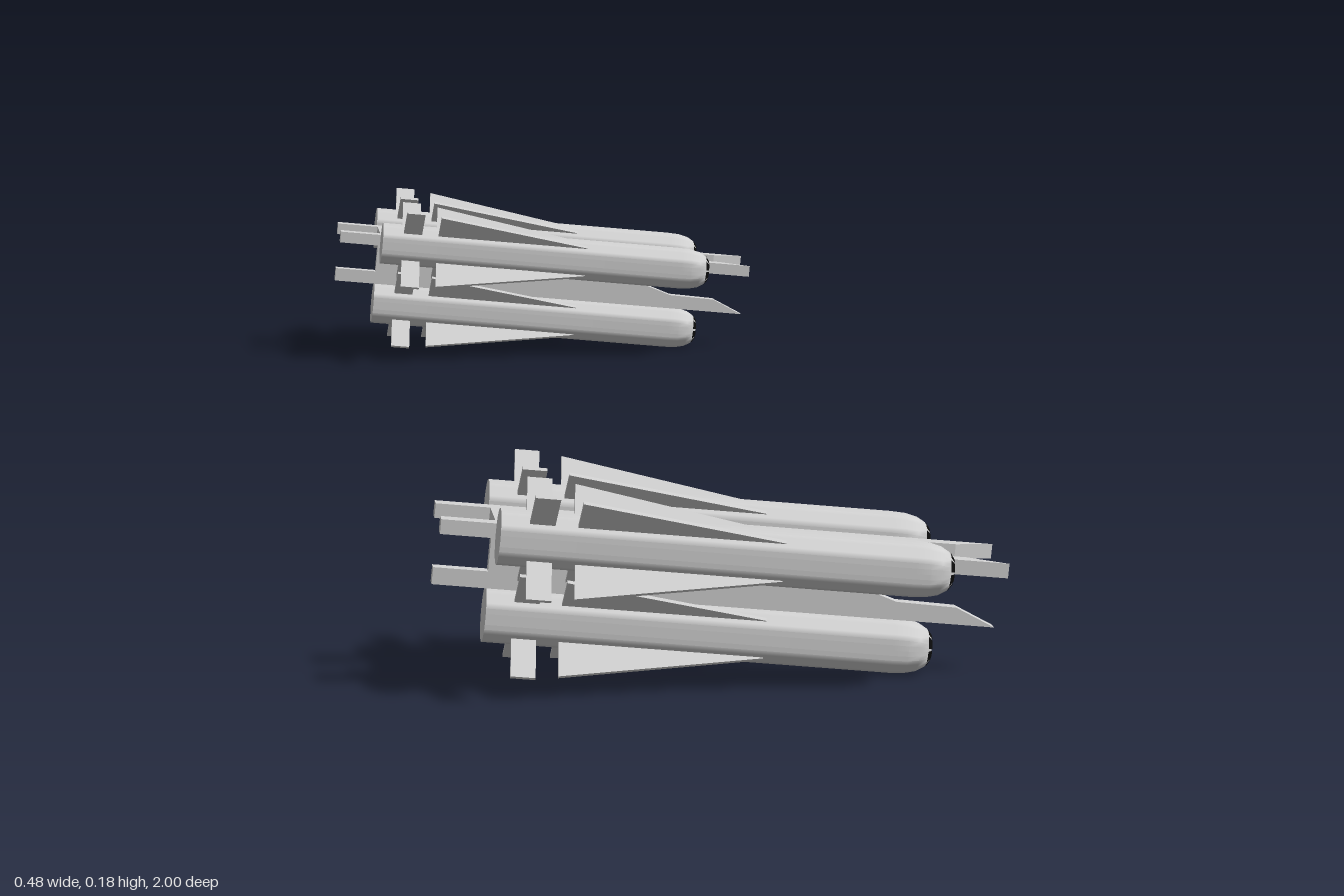
import * as THREE from 'three';
import { toCreasedNormals } from 'three/addons/utils/BufferGeometryUtils.js';

const lightGrey = new THREE.MeshStandardMaterial({ color: 0xd2d2d2 });
lightGrey.name = 'lightGrey';
const black = new THREE.MeshStandardMaterial({ color: 0x0c0c0c });
black.name = 'black';

const TAIL = -0.2;
const RADIUS = 0.0235;
const vectors = (points) => points.map(([x, y]) => new THREE.Vector2(x, y));

function part(name, geometry, material) {
  const mesh = new THREE.Mesh(geometry, material);
  mesh.name = name;
  return mesh;
}

// Flat plate in the x-y plane, centred on z = 0
function plate(points, thickness) {
  return new THREE.ExtrudeGeometry(new THREE.Shape(vectors(points)), {
    depth: thickness, bevelEnabled: false,
  }).translate(0, 0, -thickness / 2);
}

// Turned shape along +x; profile entries are [radius, distance from tail]
function turned(profile, sides, start = 0, sweep = Math.PI * 2) {
  const lathe = new THREE.LatheGeometry(vectors(profile), sides, start, sweep);
  return toCreasedNormals(lathe.rotateZ(-Math.PI / 2).translate(TAIL, 0, 0), 0.6);
}

const bodyGeometry = turned([
  [0, 0], [RADIUS, 0], [RADIUS, 0.345], [0.0228, 0.358], [0.0205, 0.368],
  [0.0165, 0.375], [0.011, 0.379], [0, 0.38],
], 32);

// Dark wedges lying just over the nose
const WEDGES = 8;
const wedgeGeometries = Array.from({ length: WEDGES }, (_, i) => turned([
  [0.0168, 0.3756], [0.0112, 0.3796], [0.002, 0.3806],
], 4, (i / WEDGES) * Math.PI * 2, (Math.PI * 2 / WEDGES) * 0.82));

const wingGeometry = plate([
  [TAIL + 0.0635, 0.02], [TAIL + 0.236, 0.022], [TAIL + 0.236, 0.0242], [TAIL + 0.0635, 0.0575],
], 0.003);
const tailFinGeometry = plate([
  [TAIL + 0.0235, 0.02], [TAIL + 0.0445, 0.02], [TAIL + 0.0445, 0.061], [TAIL + 0.0235, 0.061],
], 0.003);

function createMissile() {
  const missile = new THREE.Group();
  missile.name = 'missile';
  missile.add(part('body', bodyGeometry, lightGrey));
  wedgeGeometries.forEach((g) => missile.add(part('noseWedge', g, black)));
  // Four wings and four tail fins in an X
  for (let i = 0; i < 4; i++) {
    const angle = Math.PI / 4 + i * Math.PI / 2;
    const wing = part('wing', wingGeometry, lightGrey);
    const fin = part('tailFin', tailFinGeometry, lightGrey);
    wing.rotation.x = fin.rotation.x = angle;
    missile.add(wing, fin);
  }
  return missile;
}

// Launch rail with a web reaching from the missile to the rack centre
function createRail(reach) {
  return part('rail', plate([
    [-0.246, 0.023], [0.231, 0.023], [0.197, 0.0375], [0.146, 0.0385], [0.093, 0.055],
    [0.03, reach], [-0.2, reach], [-0.2, 0.0375], [-0.246, 0.0375],
  ], 0.0125), lightGrey);
}

// Each station holds one missile and its rail, turned towards the centre
function createRack() {
  const rack = new THREE.Group();
  rack.name = 'tripleRack';
  const stations = [
    ['lowerStation', 0, 0, 0, 0.079],
    ['leftStation', 0.079, 0.066, -Math.PI / 2, 0.066],
    ['rightStation', 0.079, -0.066, Math.PI / 2, 0.066],
  ];
  for (const [name, y, z, turn, reach] of stations) {
    const station = new THREE.Group();
    station.name = name;
    station.position.set(0, y, z);
    station.rotation.x = turn;
    station.add(createMissile(), createRail(reach));
    rack.add(station);
  }
  return rack;
}

export function createModel() {
  const model = new THREE.Group();
  model.name = 'missileRacks';
  // Two nose-down racks, set wide apart
  for (const side of [1, -1]) {
    const rack = createRack();
    rack.position.set(0, 0.0405, side * 0.889);
    rack.rotation.z = -0.098;
    model.add(rack);
  }
  return model;
}
